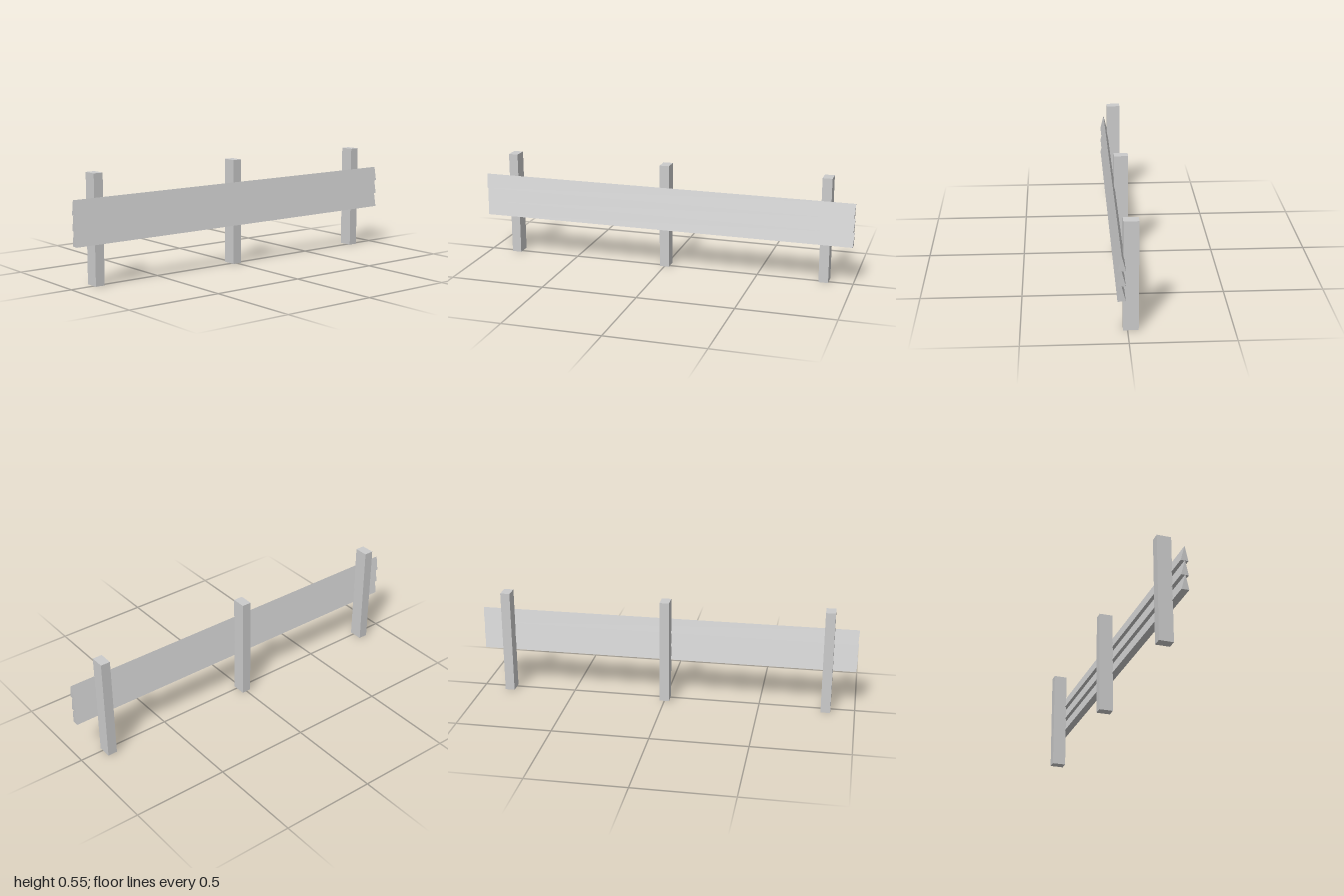
import * as THREE from 'three';

const material = new THREE.MeshStandardMaterial({ color: 0xcccccc, flatShading: true });

// Triangular rail along x, sharp edge up, ends leaning slightly outward at the top
function railGeometry(length, depth, height) {
  const section = new THREE.Shape();
  section.moveTo(-depth / 2, 0);
  section.lineTo(depth / 2, 0);
  section.lineTo(0, height);
  section.closePath();
  const geometry = new THREE.ExtrudeGeometry(section, { depth: length, bevelEnabled: false });
  geometry.translate(0, 0, -length / 2);
  geometry.rotateY(Math.PI / 2);
  const p = geometry.attributes.position;
  for (let i = 0; i < p.count; i++) {
    if (p.getY(i) < height / 2) p.setX(i, p.getX(i) * 0.995);
  }
  geometry.computeVertexNormals();
  return geometry;
}

export function createModel() {
  const fence = new THREE.Group();
  fence.name = 'fence';

  // Upright posts
  const postGeometry = new THREE.BoxGeometry(0.05, 0.552, 0.073);
  for (const [name, x] of [['leftPost', 0.85], ['middlePost', 0], ['rightPost', -0.85]]) {
    const post = new THREE.Mesh(postGeometry, material);
    post.name = name;
    post.position.set(x, 0.276, -0.0155);
    fence.add(post);
  }

  // Three stacked rails on the front of the posts
  const rail = railGeometry(2, 0.038, 0.075);
  ['lowerRail', 'middleRail', 'upperRail'].forEach((name, i) => {
    const mesh = new THREE.Mesh(rail, material);
    mesh.name = name;
    mesh.position.set(0, 0.212 + i * 0.075, 0.0345);
    fence.add(mesh);
  });

  return fence;
}
